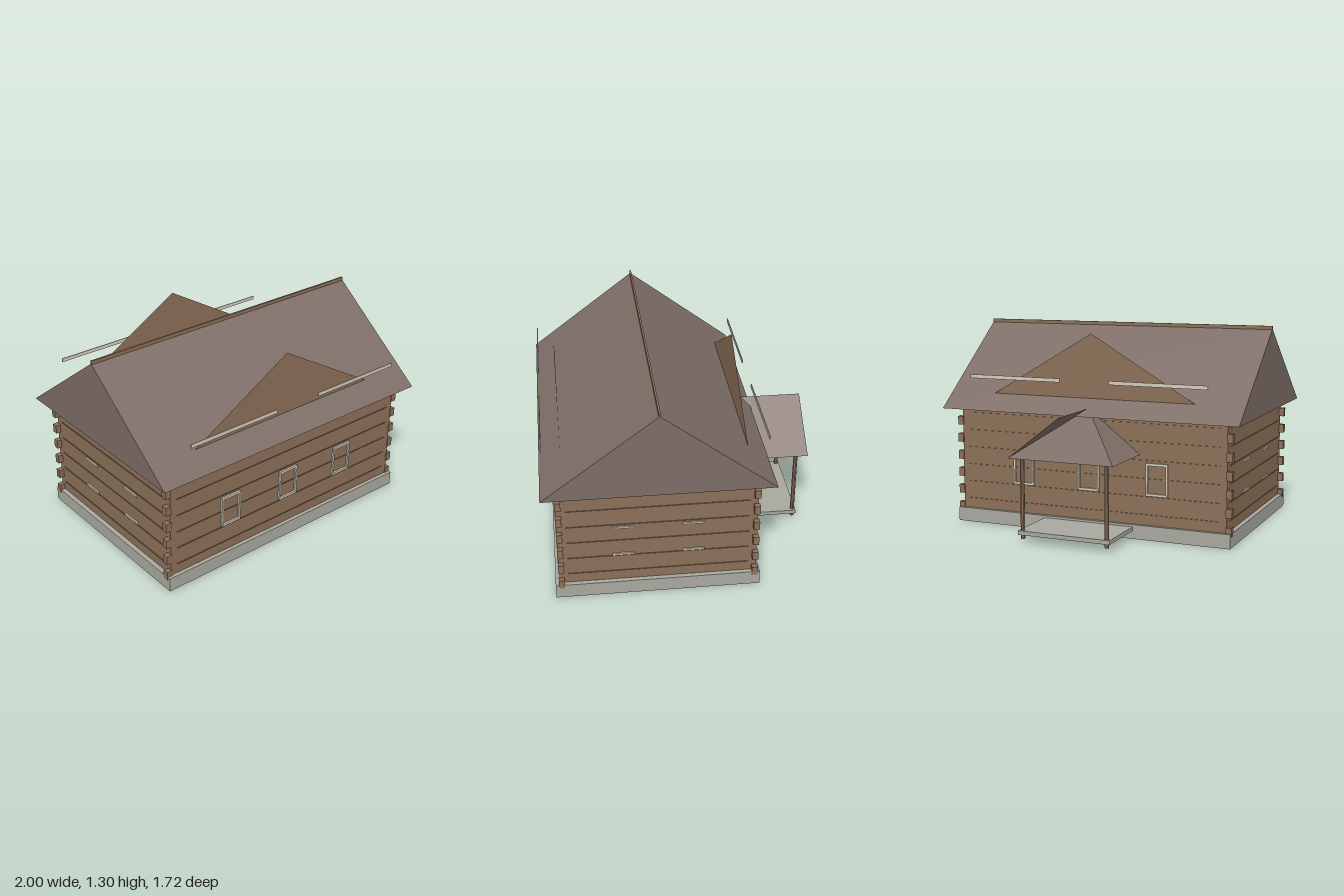
import * as THREE from 'three';

const mat = (color) => new THREE.MeshStandardMaterial({ color, flatShading: true, side: THREE.DoubleSide });

export function createModel() {
  const house = new THREE.Group();
  house.name = 'logCabin';
  const wood = mat(0x8b7058), roofing = mat(0x7d6d66), stone = mat(0xa9a89f), trim = mat(0xd2ccbc);
  const midZ = 0.17;

  const add = (name, geometry, material, parent = house) => {
    const mesh = new THREE.Mesh(geometry, material);
    mesh.name = name;
    parent.add(mesh);
    return mesh;
  };
  // Box given by its minimum and maximum on each axis
  const box = (name, x0, x1, y0, y1, z0, z1, material, parent) => {
    const mesh = add(name, new THREE.BoxGeometry(x1 - x0, y1 - y0, z1 - z0), material, parent);
    mesh.position.set((x0 + x1) / 2, (y0 + y1) / 2, (z0 + z1) / 2);
    return mesh;
  };
  const group = (name) => {
    const g = new THREE.Group();
    g.name = name;
    house.add(g);
    return g;
  };

  // Foundation and walls
  box('foundation', -0.935, 0.935, 0, 0.09, -0.455, 0.8, stone);
  box('walls', -0.905, 0.905, 0.09, 0.757, -0.433, 0.775, wood);

  // Projecting log ends at the corners and thin seams between the logs
  const logs = group('logs');
  for (let i = 0; i < 6; i++) {
    const y = 0.07 + i * 0.114;
    for (const s of [-1, 1]) {
      const x0 = s > 0 ? 0.9 : -0.938;
      box('logEnd', x0, x0 + 0.038, y, y + 0.056, 0.744, 0.78, wood, logs);
      box('logEnd', x0, x0 + 0.038, y, y + 0.056, -0.441, -0.405, wood, logs);
    }
    const seam = y + 0.085;
    box('longSeam', -0.86, 0.86, seam, seam + 0.002, -0.439, 0.781, wood, logs);
    box('shortSeam', -0.911, 0.911, seam, seam + 0.002, -0.38, 0.72, wood, logs);
  }

  // Window frames on the long walls, sill and head bars on the short walls
  const windows = group('windows');
  for (const z of [0.78, -0.438]) {
    for (const x of [-0.457, 0, 0.457]) {
      for (const y of [0.284, 0.474]) {
        box('frameBar', x - 0.068, x + 0.068, y - 0.008, y + 0.008, z - 0.007, z + 0.007, trim, windows);
      }
      for (const s of [-1, 1]) {
        const c = x + s * 0.066;
        box('frameSide', c - 0.006, c + 0.006, 0.28, 0.478, z - 0.006, z + 0.006, trim, windows);
      }
    }
  }
  for (const x of [-0.908, 0.908]) {
    for (const z of [0.381, -0.043]) {
      for (const y of [0.282, 0.477]) {
        box('sideWindowBar', x - 0.006, x + 0.006, y - 0.006, y + 0.006, z - 0.067, z + 0.067, trim, windows);
      }
    }
  }

  // Main roof: a triangular prism along x with a narrow ridge cap
  const section = new THREE.Shape([
    new THREE.Vector2(-0.693, 0.755), new THREE.Vector2(0.693, 0.755), new THREE.Vector2(0, 1.28)]);
  const roof = add('mainRoof', new THREE.ExtrudeGeometry(section, { depth: 2, bevelEnabled: false }), roofing);
  roof.rotation.y = Math.PI / 2;
  roof.position.set(-1, 0, midZ - 0.003);
  box('ridgeCap', -1, 1, 1.275, 1.298, midZ - 0.009, midZ + 0.003, wood);

  // Flat gable panels standing on each slope, with trim strips in front
  const panel = new THREE.Shape([
    new THREE.Vector2(-0.685, 0.855), new THREE.Vector2(0.685, 0.855), new THREE.Vector2(0, 1.26)]);
  for (const s of [-1, 1]) {
    const gable = add('gablePanel', new THREE.ShapeGeometry(panel), wood);
    gable.position.z = midZ - 0.003 + s * 0.563;
    if (s < 0) gable.rotation.y = Math.PI;
    const z = 0.168 + s * 0.672;
    for (const x of [-0.8, 0.165]) {
      box('trimStrip', x, x + 0.635, 0.96, 0.984, z - 0.003, z + 0.003, trim);
    }
  }

  // Back porch: slab, posts and its roof
  box('porchSlab', -0.305, 0.305, 0.05, 0.076, -0.815, -0.44, stone);
  for (const x of [-0.28, 0.28]) {
    const post = add('porchPost', new THREE.CylinderGeometry(0.014, 0.014, 0.51, 8), wood);
    post.position.set(x, 0.28, -0.795);
  }
  const corners = [
    0.345, 0.53, -0.86, -0.345, 0.53, -0.86, -0.345, 0.53, -0.435, 0.345, 0.53, -0.435,
    0, 0.798, -0.435, 0, 0.798, -0.86];
  const porch = new THREE.BufferGeometry();
  porch.setAttribute('position', new THREE.Float32BufferAttribute(corners, 3));
  // Back hip, right slope, left slope, underside, house end
  porch.setIndex([0, 1, 4, 1, 2, 4, 5, 4, 3, 5, 3, 0, 0, 3, 2, 0, 2, 1, 2, 3, 4]);
  const porchGeometry = porch.toNonIndexed();
  porchGeometry.computeVertexNormals();
  add('porchRoof', porchGeometry, roofing);

  return house;
}
